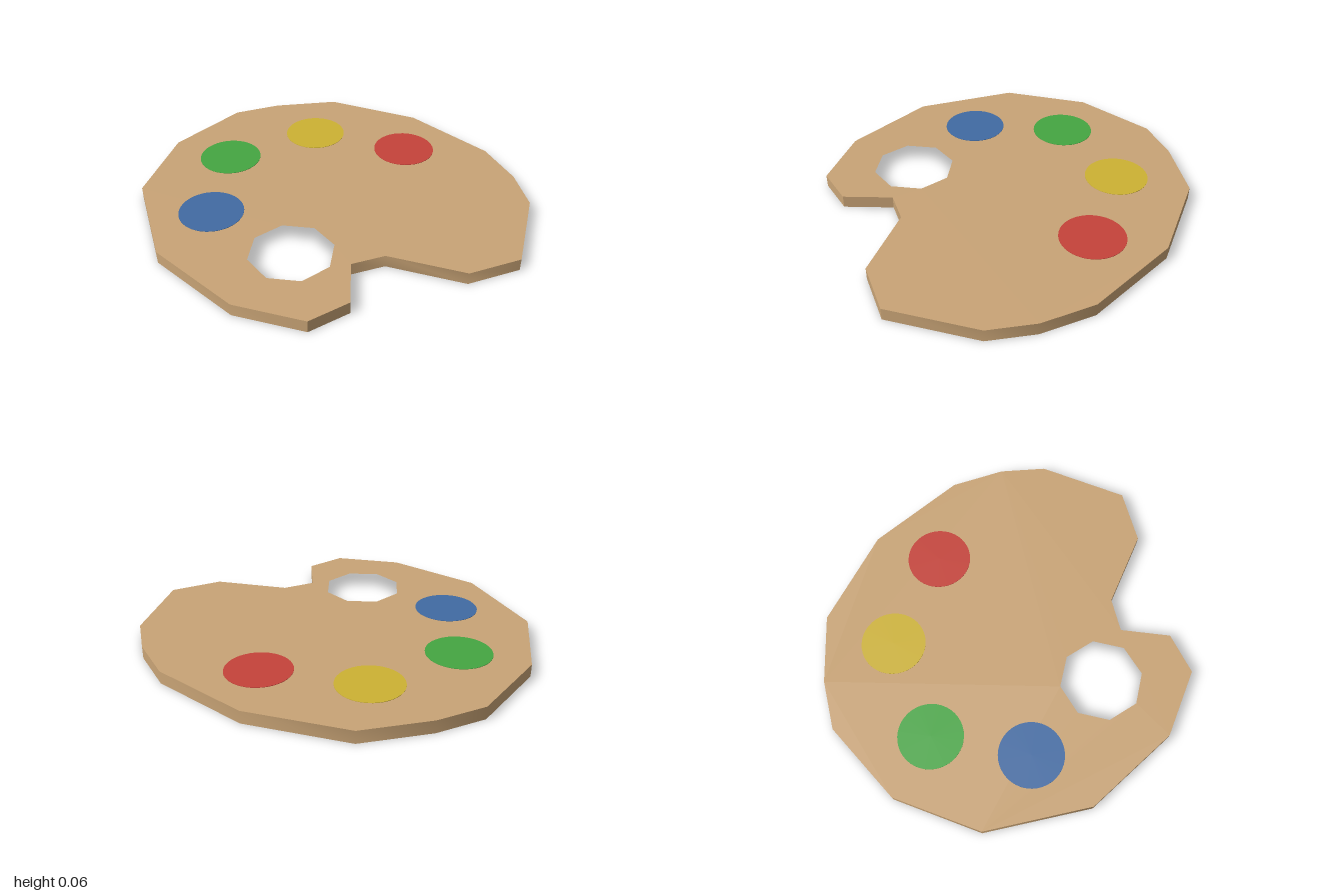
import * as THREE from 'three';
import { toCreasedNormals } from 'three/addons/utils/BufferGeometryUtils.js';

const THICKNESS = 0.063;

const material = (name, color) => {
  const m = new THREE.MeshStandardMaterial({ color });
  m.name = name;
  return m;
};

// Outline and thumb hole as [x, z] points
const OUTLINE = [
  [-1, 0], [-0.91, -0.44], [-0.75, -0.63], [-0.48, -0.84], [0.02, -0.91], [0.52, -0.78],
  [0.74, -0.62], [0.89, -0.44], [1, 0], [0.83, 0.21], [0.45, 0.29], [0.34, 0.42],
  [0.46, 0.64], [0.36, 0.83], [0.02, 0.91], [-0.48, 0.8], [-0.88, 0.44],
];
const HOLE = { x: 0.06, z: 0.485, radius: 0.207, sides: 8 };

const PAINTS = [
  { name: 'red', color: 0xc5433a, x: 0.12, z: -0.575 },
  { name: 'yellow', color: 0xcdb233, x: -0.39, z: -0.475 },
  { name: 'green', color: 0x45a642, x: -0.66, z: -0.03 },
  { name: 'blue', color: 0x416ba3, x: -0.45, z: 0.42 },
];

export function createModel() {
  const palette = new THREE.Group();
  palette.name = 'paintPalette';

  // Wooden board, drawn flat and laid down
  const toPoint = ([x, z]) => new THREE.Vector2(x, -z);
  const shape = new THREE.Shape(OUTLINE.map(toPoint));
  const hole = [];
  for (let i = 0; i < HOLE.sides; i++) {
    const a = (i / HOLE.sides) * Math.PI * 2;
    hole.push(toPoint([HOLE.x + HOLE.radius * Math.cos(a), HOLE.z + HOLE.radius * Math.sin(a)]));
  }
  shape.holes.push(new THREE.Path(hole));
  const geometry = new THREE.ExtrudeGeometry(shape, { depth: THICKNESS, bevelEnabled: false });
  geometry.rotateX(-Math.PI / 2);
  const board = new THREE.Mesh(toCreasedNormals(geometry, 0.75), material('wood', 0xc9a476));
  board.name = 'board';
  palette.add(board);

  // Round dabs of paint
  const dab = new THREE.CylinderGeometry(0.162, 0.162, 0.002, 40);
  for (const { name, color, x, z } of PAINTS) {
    const mesh = new THREE.Mesh(dab, material(name + 'Paint', color));
    mesh.name = name + 'PaintDab';
    mesh.position.set(x, THICKNESS + 0.001, z);
    palette.add(mesh);
  }
  return palette;
}
